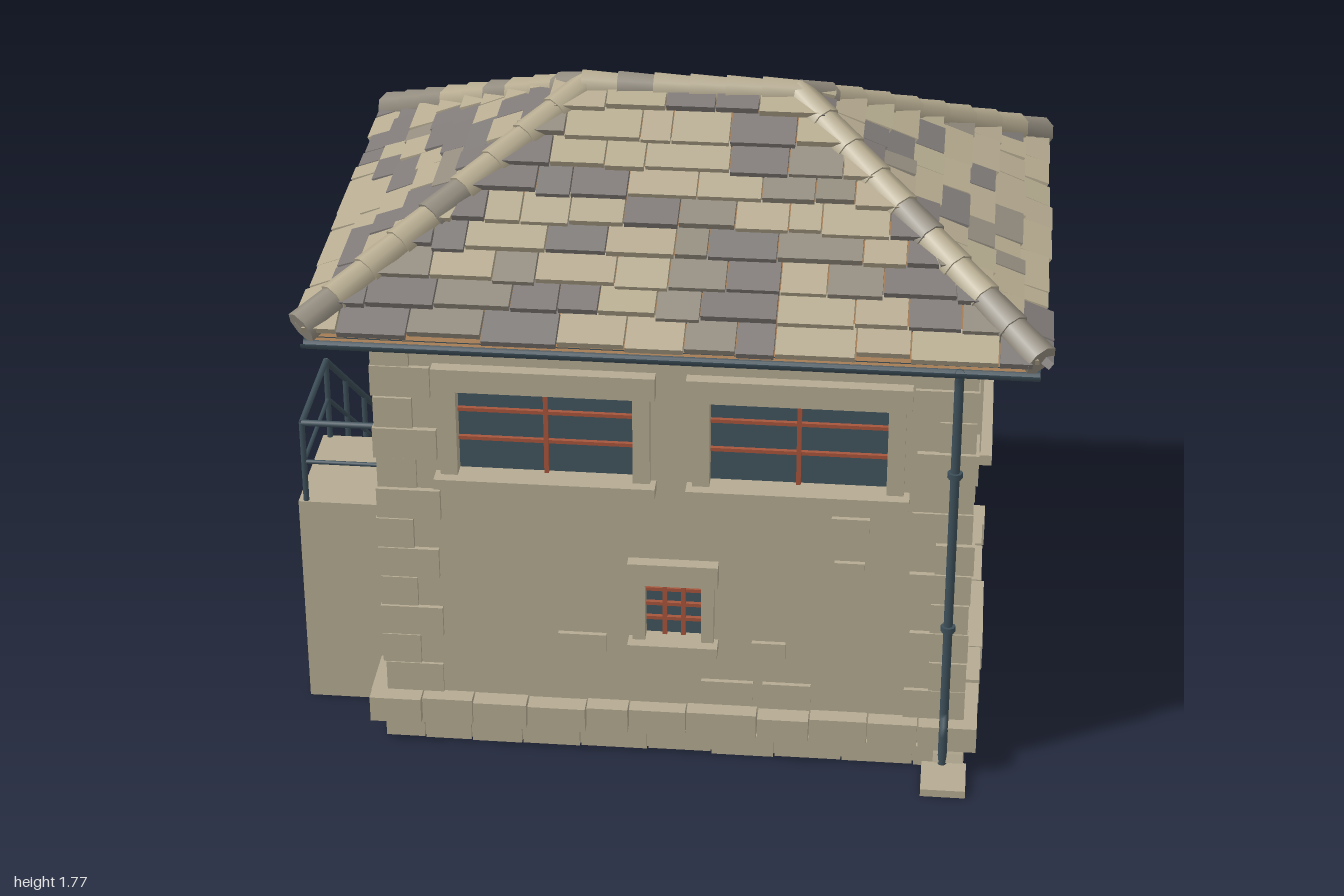
import * as THREE from 'three';
import { mergeGeometries } from 'three/addons/utils/BufferGeometryUtils.js';

const mat = (name, color, side = THREE.FrontSide) => {
  const m = new THREE.MeshStandardMaterial({ color, side });
  m.name = name;
  return m;
};

export function createModel() {
  const model = new THREE.Group();
  model.name = 'stoneHouse';
  const stone = mat('stone', 0xb5ab92);
  const tileLight = mat('lightTile', 0xb8ad92);
  const tileMid = mat('taupeTile', 0x948d80);
  const tileGrey = mat('greyTile', 0x807b78);
  const timber = mat('timber', 0x96682f, THREE.DoubleSide);
  const glass = mat('glass', 0x42555e);
  const paint = mat('redPaint', 0xa8563c);
  const door = mat('darkDoor', 0x352c25);
  const metal = mat('blueMetal', 0x3d4f59, THREE.DoubleSide);

  let seed = 7;
  const rnd = (a = 0, b = 1) => {
    seed = (seed * 16807) % 2147483647;
    return a + (b - a) * seed / 2147483647;
  };
  const V = (x, y, z) => new THREE.Vector3(x, y, z);
  const add = (parent, name, geo, m) => {
    const mesh = new THREE.Mesh(geo, m);
    mesh.name = name;
    parent.add(mesh);
    return mesh;
  };
  // Box given by its limits
  const box = (parent, name, m, x0, x1, y0, y1, z0, z1) => {
    const b = add(parent, name, new THREE.BoxGeometry(x1 - x0, y1 - y0, z1 - z0), m);
    b.position.set((x0 + x1) / 2, (y0 + y1) / 2, (z0 + z1) / 2);
    return b;
  };
  const rod = (parent, name, m, a, b, r0, r1 = r0, sides = 8) => {
    const c = add(parent, name, new THREE.CylinderGeometry(r1, r0, a.distanceTo(b), sides), m);
    c.position.copy(a).add(b).multiplyScalar(0.5);
    c.quaternion.setFromUnitVectors(V(0, 1, 0), b.clone().sub(a).normalize());
    return c;
  };

  // ---- Walls: local x runs along the wall, local z points outwards
  const X0 = -0.74, X1 = 0.81, Z0 = -0.52, Z1 = 0.55, TOP = 1.3;
  const bars = [1, 2], wide = (x0, x1) => ({ x0, x1, y0: 0.845, y1: 1.1, cols: 2, rows: 3 });
  const walls = [
    { name: 'frontWall', angle: 0, at: [0, 0, Z1], a: X0, b: X1,
      holes: [wide(-0.53, -0.07), wide(0.13, 0.59), { x0: -0.04, x1: 0.11, y0: 0.36, y1: 0.54, cols: 3, rows: 4 }],
      stones: [[0.5, 0.735, 0.1], [0.5, 0.6, 0.08], [-0.21, 0.335, 0.13], [0.29, 0.335, 0.09], [0.18, 0.205, 0.14], [0.34, 0.205, 0.13]] },
    { name: 'rightWall', angle: Math.PI / 2, at: [X1, 0, 0], a: -Z1, b: -Z0,
      holes: [wide(-0.28, 0.23)],
      stones: [[0, 0.735, 0.14], [-0.08, 0.6, 0.1], [0.12, 0.6, 0.1], [0.13, 0.47, 0.13], [-0.18, 0.335, 0.1], [-0.18, 0.2, 0.12], [-0.06, 0.2, 0.11]] },
    { name: 'backWall', angle: Math.PI, at: [0, 0, Z0], a: -X1, b: -X0,
      holes: [wide(-0.59, -0.13), wide(0.07, 0.53), { x0: -0.13, x1: 0.1, y0: 0.07, y1: 0.58, door: true }],
      stones: [[0.42, 0.62, 0.12], [0.36, 0.48, 0.1], [0.46, 0.34, 0.12], [0.3, 0.25, 0.1], [-0.4, 0.62, 0.11], [-0.35, 0.36, 0.12], [-0.48, 0.27, 0.1]] },
    { name: 'leftWall', angle: -Math.PI / 2, at: [X0, 0, 0], a: Z0, b: Z1,
      holes: [{ x0: -0.35, x1: -0.2, y0: 0.845, y1: 1.1, cols: 2, rows: 3 }, { x0: 0.06, x1: 0.27, y0: 0.63, y1: 1.15, door: true }],
      stones: [[-0.1, 0.72, 0.1], [0.42, 0.35, 0.07], [-0.3, 0.62, 0.1]] },
  ];
  for (const w of walls) {
    const g = new THREE.Group();
    g.name = w.name;
    g.position.set(...w.at);
    g.rotation.y = w.angle;
    model.add(g);
    const rect = (C, x0, x1, y0, y1) => new C([V(x0, y0), V(x1, y0), V(x1, y1), V(x0, y1)].map(p => new THREE.Vector2(p.x, p.y)));
    const shape = rect(THREE.Shape, w.a, w.b, 0, TOP);
    shape.holes = w.holes.map(h => rect(THREE.Path, h.x0, h.x1, h.y0, h.y1));
    add(g, 'wallPanel', new THREE.ExtrudeGeometry(shape, { depth: 0.04, bevelEnabled: false }).translate(0, 0, -0.04), stone);

    // Openings with stone surrounds
    for (const { x0, x1, y0, y1, cols, rows, door: isDoor } of w.holes) {
      const t = Math.min(0.06, (x1 - x0) * 0.3);
      box(g, 'lintel', stone, x0 - t, x1 + t, y1, y1 + 0.065, -0.03, 0.035);
      for (const [s, e] of [[x0 - t * 0.75, x0], [x1, x1 + t * 0.75]]) box(g, 'jamb', stone, s, e, y0, y1, -0.03, 0.02);
      if (isDoor) {
        box(g, 'doorLeaf', door, x0, x1, y0, y1, -0.04, -0.03);
        for (const [s, e] of [[x0, x0 + 0.025], [x1 - 0.025, x1]]) box(g, 'doorFrame', paint, s, e, y0, y1, -0.03, -0.01);
        box(g, 'doorFrameTop', paint, x0, x1, y1 - 0.025, y1, -0.03, -0.01);
        for (const f of [0.2, 0.8]) {
          const y = y0 + (y1 - y0) * f;
          box(g, 'hingeStrap', metal, x0 + 0.02, x1 - 0.06, y - 0.012, y + 0.012, -0.03, -0.02);
        }
        box(g, 'doorHandle', timber, x1 - 0.055, x1 - 0.04, y0 + 0.22, y0 + 0.28, -0.03, -0.012);
      } else {
        box(g, 'sill', stone, x0 - t, x1 + t, y0 - 0.03, y0, -0.03, 0.05);
        box(g, 'windowGlass', glass, x0, x1, y0, y1, -0.035, -0.025);
        for (let i = 1; i < cols; i++) {
          const x = x0 + (x1 - x0) * i / cols;
          box(g, 'windowBar', paint, x - 0.006, x + 0.006, y0, y1, -0.025, -0.012);
        }
        for (let i = 1; i < rows; i++) {
          const y = y0 + (y1 - y0) * (i + 0.1) / rows;
          box(g, 'windowBar', paint, x0, x1, y - 0.005, y + 0.005, -0.025, -0.014);
        }
      }
    }
    // Raised stones on the face
    for (const [x, y, len] of w.stones) box(g, 'faceStone', stone, x - len / 2, x + len / 2, y - 0.027, y + 0.027, -0.02, 0.013);

    // Two plinth courses
    for (const [y0, y1, out] of [[0, 0.068, 0.015], [0.072, 0.15, 0.05]]) {
      let x = w.a - out;
      while (x < w.b + out - 0.04) {
        const end = Math.min(x + rnd(0.11, 0.2), w.b + out);
        const blocked = w.name === 'backWall' && end > -0.17 && x < 0.14;
        if (!blocked) box(g, 'plinthStone', stone, x, end - 0.004, y0, y1 - rnd(0, 0.008), -0.06, out + rnd(-0.008, 0.004));
        x = end;
      }
    }
  }
  box(model, 'doorStep', stone, -0.2, 0.24, 0, 0.065, -0.66, Z0);

  // Corner quoins, long and short in turn
  for (const sx of [-1, 1]) for (const sz of [-1, 1]) {
    for (let i = 0; i < 12; i++) {
      const lx = (i % 2 ? 0.09 : 0.155) + rnd(0, 0.015), lz = (i % 2 ? 0.155 : 0.1) + rnd(0, 0.015);
      const cx = (sx > 0 ? X1 : X0) + sx * rnd(0.006, 0.016), cz = (sz > 0 ? Z1 : Z0) + sz * rnd(0.006, 0.016);
      const y = 0.15 + i * 0.0917;
      box(model, 'quoin', stone, Math.min(cx, cx - sx * lx), Math.max(cx, cx - sx * lx), y, y + 0.088,
        Math.min(cz, cz - sz * lz), Math.max(cz, cz - sz * lz));
    }
  }

  // ---- Hipped roof
  const CX = 0.035, CZ = 0.02, W = 0.93, D = 0.68, R = 0.28, Y0 = 1.3, H = 0.42;
  const deck = new THREE.BoxGeometry(2, 1, 2);
  const dp = deck.attributes.position;
  for (let i = 0; i < dp.count; i++) {
    const up = dp.getY(i) > 0;
    dp.setXYZ(i, CX + dp.getX(i) * (up ? R : W - 0.02), up ? Y0 + H : Y0 - 0.012, CZ + dp.getZ(i) * (up ? 0.001 : D - 0.02));
  }
  const deckFlat = deck.toNonIndexed();
  deckFlat.computeVertexNormals();
  add(model, 'roofDeck', deckFlat, timber);

  const kinds = [tileLight, tileMid, tileGrey], piles = [[], [], []], ROWS = 9;
  for (let f = 0; f < 4; f++) {
    const side = f % 2, run = side ? W - R : D, inner = side ? R : 0;
    const low = side ? D : W, high = side ? 0 : R;
    const s = Math.sin(f * Math.PI / 2), c = Math.cos(f * Math.PI / 2), L = Math.hypot(run, H);
    const place = (u, v, h) => {
      const o = inner + run * (1 - v) + h * H / L;
      return [CX + u * c + o * s, Y0 + v * H + h * run / L, CZ - u * s + o * c];
    };
    const half = v => low + (high - low) * Math.min(v, 1);
    for (let r = 0; r < ROWS; r++) {
      const v0 = r / ROWS, v1 = Math.min((r + 1.15) / ROWS, 1);
      let u = -half(v0) - rnd(0, 0.08);
      while (u < half(v0)) {
        const end = u + rnd(0.08, 0.22), start = u, drop = rnd(-0.012, 0.012), lift = rnd(0, 0.008);
        const geo = new THREE.BoxGeometry(1, 1, 1), p = geo.attributes.position;
        for (let i = 0; i < p.count; i++) {
          const v = p.getY(i) > 0 ? v1 : v0 + drop;
          const h = (p.getY(i) > 0 ? 0 : 0.018 + lift) + (p.getZ(i) > 0 ? 0.022 : 0);
          const x = THREE.MathUtils.clamp(p.getX(i) > 0 ? end - 0.004 : start, -half(v), half(v));
          p.setXYZ(i, ...place(x, v, h));
        }
        const flat = geo.toNonIndexed();
        flat.computeVertexNormals();
        const k = rnd();
        piles[k < 0.55 ? 0 : k < 0.7 ? 1 : 2].push(flat);
        u = end;
      }
    }
  }
  piles.forEach((list, i) => add(model, 'roofTiles', mergeGeometries(list), kinds[i]));

  // Overlapping caps along hips and ridge
  const caps = (a, b, n) => {
    for (let i = 0; i < n; i++) {
      const p = a.clone().lerp(b, i / n), q = a.clone().lerp(b, (i + 1.1) / n);
      rod(model, 'ridgeCap', kinds[rnd() < 0.65 ? 0 : 1], p, q, 0.046, 0.039, 8);
    }
  };
  const yTop = Y0 + H + 0.003;
  for (const sx of [-1, 1]) {
    for (const sz of [-1, 1]) caps(V(CX + sx * 0.93, Y0 + 0.03, CZ + sz * 0.675), V(CX + sx * R, yTop, CZ), 9);
  }
  caps(V(CX - R - 0.01, yTop, CZ), V(CX + R, yTop, CZ), 6);

  // Rafter tails under the eaves
  for (let i = -2; i <= 3; i++) {
    const x = -0.07 + i * 0.28;
    box(model, 'rafter', timber, x - 0.014, x + 0.014, 1.262, 1.288, CZ - 0.63, CZ + 0.63);
  }
  for (let i = -2; i <= 2; i++) {
    const z = 0.03 + i * 0.205;
    box(model, 'rafter', timber, CX - 0.87, CX + 0.87, 1.262, 1.288, z - 0.014, z + 0.014);
  }

  // Gutters and downpipes
  for (const [sz, x] of [[1, 0.765], [-1, -0.67]]) {
    const gutter = add(model, 'gutter', new THREE.CylinderGeometry(0.022, 0.022, 1.86, 10, 1, true, -Math.PI / 2, Math.PI), metal);
    gutter.rotation.set(Math.PI / 2, 0, Math.PI / 2, 'YXZ');
    gutter.position.set(CX, 1.295, CZ + sz * 0.675);
    const zw = (sz > 0 ? Z1 : Z0) + sz * 0.025;
    const path = new THREE.CurvePath();
    const pts = [V(x, 1.28, CZ + sz * 0.67), V(x, 1.25, zw + sz * 0.01), V(x, 1.2, zw), V(x, 0.17, zw), V(x, 0.13, zw + sz * 0.035), V(x, 0.04, zw + sz * 0.035)];
    for (let i = 1; i < pts.length; i++) path.add(new THREE.LineCurve3(pts[i - 1], pts[i]));
    add(model, 'downpipe', new THREE.TubeGeometry(path, 60, 0.012, 8), metal);
    for (const y of [0.45, 0.92]) rod(model, 'pipeBand', metal, V(x, y - 0.008, zw), V(x, y + 0.008, zw), 0.02);
  }
  box(model, 'splashStone', stone, 0.71, 0.83, 0, 0.022, 0.58, 0.71);
  box(model, 'pipeStone', stone, 0.74, 0.82, 0.035, 0.06, 0.56, 0.615).rotation.x = -0.4;

  // ---- Outside stair and landing as one stepped solid
  const STEPS = 11, RISE = 0.63 / STEPS, S0 = -0.74, S1 = 0.03, GO = (S1 - S0) / (STEPS - 1);
  const profile = new THREE.Shape();
  profile.moveTo(-S0, 0);
  for (let i = 0; i < STEPS; i++) {
    profile.lineTo(-(S0 + i * GO), (i + 1) * RISE);
    if (i < STEPS - 1) profile.lineTo(-(S0 + (i + 1) * GO), (i + 1) * RISE);
  }
  profile.lineTo(-0.39, 0.63);
  profile.lineTo(-0.39, 0);
  const stair = add(model, 'stairAndLanding', new THREE.ExtrudeGeometry(profile, { depth: 0.25, bevelEnabled: false }), stone);
  stair.rotation.y = Math.PI / 2;
  stair.position.x = -1;
  box(model, 'bottomStep', stone, -1, -0.73, 0, RISE, -0.74, -0.64);

  // Handrail
  const RX = -0.98, rail = z => Math.min(0.29 + 0.78 * (z + 0.71), 0.87);
  for (const drop of [0, 0.12]) {
    const a = V(RX, 0.29 - drop, -0.71), b = V(RX, 0.87 - drop, 0.035), c = V(RX, 0.87 - drop, 0.38), d = V(X0, 0.87 - drop, 0.38);
    for (const [p, q] of [[a, b], [b, c], [c, d]]) rod(model, 'handrail', metal, p, q, drop ? 0.006 : 0.009);
  }
  for (const z of [-0.71, -0.46, -0.21, 0.035, 0.38]) rod(model, 'railPost', metal, V(RX, rail(z) - 0.26, z), V(RX, rail(z), z), 0.008);
  return model;
}
